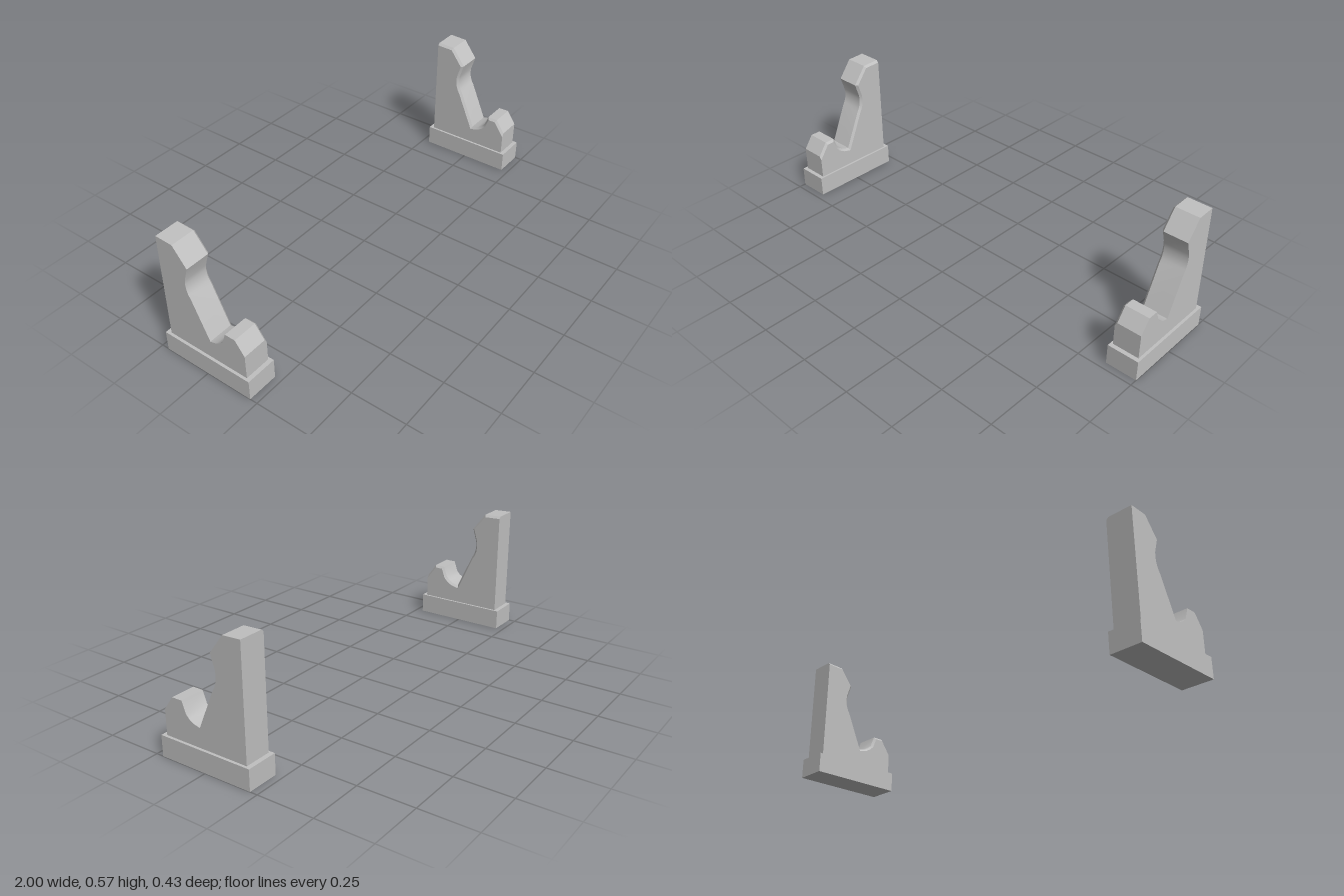
import * as THREE from 'three';
import { toCreasedNormals } from 'three/addons/utils/BufferGeometryUtils.js';

// Side outline as (z, y), from back bottom over the top to front bottom
const PROFILE = [
  [-0.197, 0.09], [-0.197, 0.573], [-0.115, 0.57], [-0.052, 0.489],
  [-0.071, 0.427], [-0.073, 0.405], [-0.07, 0.38], [-0.063, 0.36], [-0.052, 0.341],
  [0.023, 0.174], [0.053, 0.182], [0.073, 0.194], [0.089, 0.21],
  [0.107, 0.26], [0.155, 0.26], [0.198, 0.2], [0.198, 0.09],
].map(([z, y]) => new THREE.Vector2(z, y));

const OUTER = 0.988, INNER = 0.87, CHAMFER = 0.01;

// Outline moved inwards, except along the back, front and bottom edges
function insetProfile(points, amount) {
  const n = points.length;
  const edge = (i) => {
    const d = points[(i + 1) % n].clone().sub(points[i]).normalize();
    return { x: d.y, y: -d.x, o: i === 0 || i >= n - 2 ? 0 : amount };
  };
  return points.map((p, i) => {
    const a = edge((i + n - 1) % n), b = edge(i);
    const det = a.x * b.y - a.y * b.x;
    return new THREE.Vector2(
      p.x + (a.o * b.y - b.o * a.y) / det,
      p.y + (a.x * b.o - b.x * a.o) / det);
  });
}

// Upright cradle for one side, chamfered along its inner edge
function cradleGeometry(side) {
  const n = PROFILE.length;
  const ring = (pts, x) => pts.map((p) => new THREE.Vector3(side * x, p.y, p.x));
  const inset = insetProfile(PROFILE, CHAMFER);
  const rings = [ring(PROFILE, OUTER), ring(PROFILE, INNER + CHAMFER), ring(inset, INNER)];
  const positions = [];

  // Adds a triangle turned to face the given direction
  const tri = (a, b, c, out) => {
    const normal = b.clone().sub(a).cross(c.clone().sub(a));
    const order = normal.dot(out) < 0 ? [a, c, b] : [a, b, c];
    order.forEach((v) => positions.push(v.x, v.y, v.z));
  };

  // Rim and chamfer
  for (let r = 0; r < 2; r++) {
    for (let i = 0; i < n; i++) {
      const j = (i + 1) % n;
      const d = PROFILE[j].clone().sub(PROFILE[i]).normalize();
      const out = new THREE.Vector3(0, d.x, -d.y);
      const [a, b] = [rings[r], rings[r + 1]];
      tri(a[i], a[j], b[j], out);
      tri(a[i], b[j], b[i], out);
    }
  }

  // Flat outer and inner sides
  [[PROFILE, rings[0], side], [inset, rings[2], -side]].forEach(([pts, verts, dir]) => {
    const out = new THREE.Vector3(dir, 0, 0);
    THREE.ShapeUtils.triangulateShape(pts.slice(), [])
      .forEach(([a, b, c]) => tri(verts[a], verts[b], verts[c], out));
  });

  const geometry = new THREE.BufferGeometry();
  geometry.setAttribute('position', new THREE.Float32BufferAttribute(positions, 3));
  return toCreasedNormals(geometry, 0.45);
}

export function createModel() {
  const model = new THREE.Group();
  model.name = 'cradleStands';
  const grey = new THREE.MeshStandardMaterial({ color: 0xc0c0c0 });
  grey.name = 'lightGrey';

  for (const side of [1, -1]) {
    const stand = new THREE.Group();
    stand.name = side > 0 ? 'leftStand' : 'rightStand';

    const base = new THREE.Mesh(new THREE.BoxGeometry(0.14, 0.091, 0.434), grey);
    base.name = 'base';
    base.position.set(side * 0.93, 0.0455, 0);

    const cradle = new THREE.Mesh(cradleGeometry(side), grey);
    cradle.name = 'cradle';

    stand.add(base, cradle);
    model.add(stand);
  }
  return model;
}
